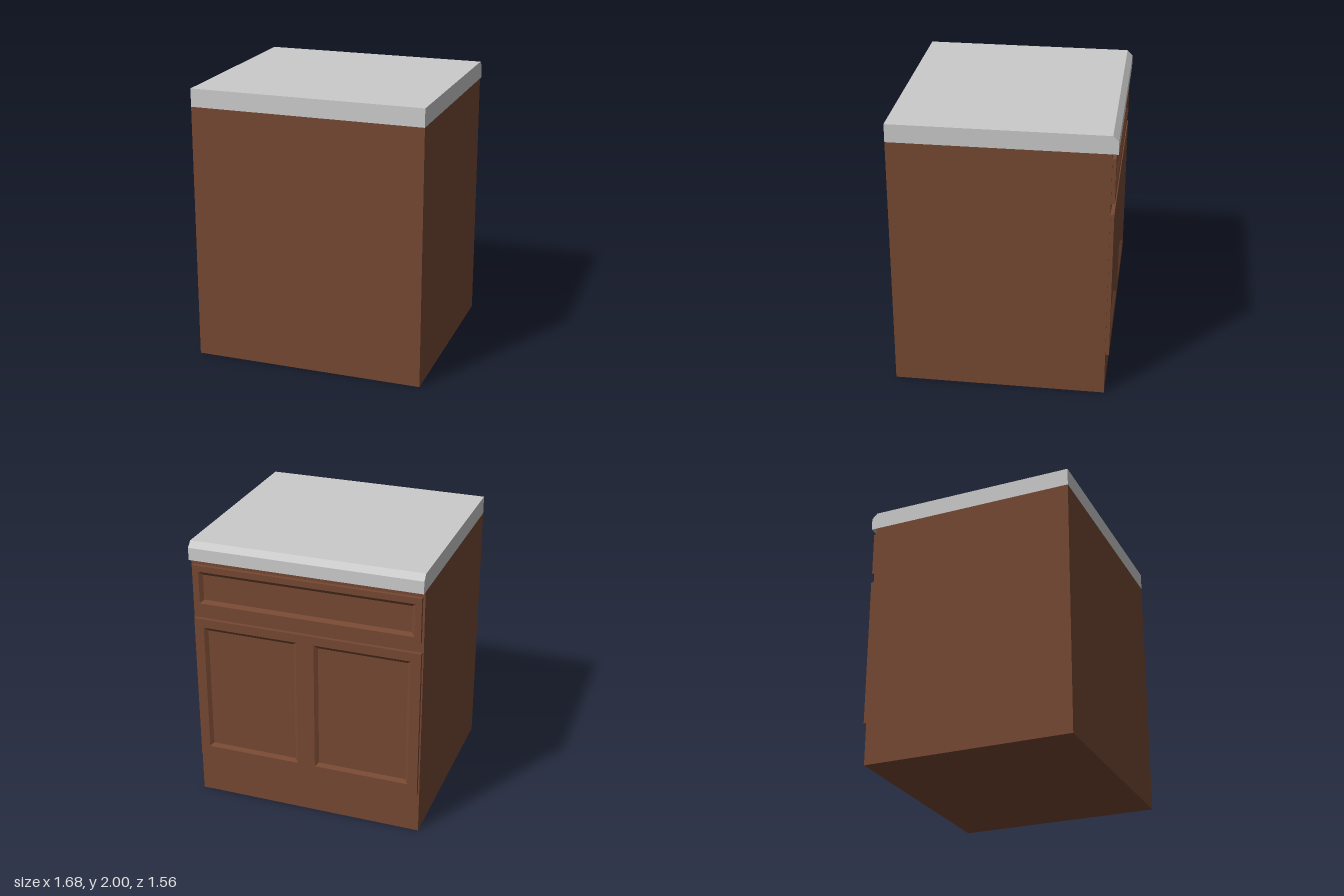
import * as THREE from 'three';

const wood = new THREE.MeshStandardMaterial({ color: 0x764832, flatShading: true });
const stone = new THREE.MeshStandardMaterial({ color: 0xcccccc, flatShading: true });

const HALF_WIDTH = 0.84;
const FACE_Z = 0.74; // cabinet face, before the fronts are turned to -z
const THICK = 0.026;
const BEVEL = 0.025;

function add(parent, name, geometry, material) {
  const mesh = new THREE.Mesh(geometry, material);
  mesh.name = name;
  parent.add(mesh);
  return mesh;
}

// Corners of a rectangle [x0, y0, x1, y1], anticlockwise
const corners = ([x0, y0, x1, y1], inset = 0) => [
  [x0 + inset, y0 + inset], [x1 - inset, y0 + inset],
  [x1 - inset, y1 - inset], [x0 + inset, y1 - inset],
];
const toPoints = (list) => list.map(([x, y]) => new THREE.Vector2(x, y));

// Sunk panel: sloping rim from the frame face down to a flat centre
function sunkPanel(rect) {
  const positions = [];
  for (const [x, y] of corners(rect)) positions.push(x, y, THICK);
  for (const [x, y] of corners(rect, BEVEL)) positions.push(x, y, 0.006);
  const index = [4, 5, 6, 4, 6, 7];
  for (let i = 0; i < 4; i++) {
    const j = (i + 1) % 4;
    index.push(i, j, j + 4, i, j + 4, i + 4);
  }
  const geometry = new THREE.BufferGeometry();
  geometry.setAttribute('position', new THREE.Float32BufferAttribute(positions, 3));
  geometry.setIndex(index);
  const flat = geometry.toNonIndexed();
  flat.computeVertexNormals();
  return flat;
}

// Slab with openings, each filled by a sunk panel
function panelledFront(name, rect, openings) {
  const group = new THREE.Group();
  group.name = name;
  const shape = new THREE.Shape(toPoints(corners(rect)));
  for (const opening of openings) {
    shape.holes.push(new THREE.Path(toPoints(corners(opening)).reverse()));
    add(group, name + 'Panel', sunkPanel(opening), wood);
  }
  add(group, name + 'Frame',
    new THREE.ExtrudeGeometry(shape, { depth: THICK, bevelEnabled: false }), wood);
  group.position.z = FACE_Z;
  return group;
}

export function createModel() {
  const model = new THREE.Group();
  model.name = 'baseCabinet';

  // Cabinet carcass
  const body = add(model, 'cabinetBody', new THREE.BoxGeometry(2 * HALF_WIDTH, 1.87, 1.52), wood);
  body.position.set(0, 0.935, 0.02);

  // Countertop: side profile with a chamfered overhang, swept across the width
  const profile = new THREE.Shape(toPoints([
    [-0.78, 1.87], [0.78, 1.87], [0.78, 1.96], [0.74, 2], [-0.78, 2],
  ]));
  const top = add(model, 'countertop',
    new THREE.ExtrudeGeometry(profile, { depth: 2 * HALF_WIDTH, bevelEnabled: false }), stone);
  top.rotation.y = Math.PI / 2;
  top.position.x = -HALF_WIDTH;

  // Drawer and double-door fronts, turned to face -z
  const fronts = new THREE.Group();
  fronts.name = 'cabinetFronts';
  fronts.rotation.y = Math.PI;
  fronts.add(panelledFront('drawerFront', [-0.825, 1.5, 0.825, 1.83], [[-0.78, 1.545, 0.78, 1.785]]));
  fronts.add(panelledFront('doorFront', [-0.83, 0.315, 0.83, 1.425],
    [[-0.76, 0.39, -0.065, 1.36], [0.065, 0.39, 0.76, 1.36]]));
  model.add(fronts);

  return model;
}
